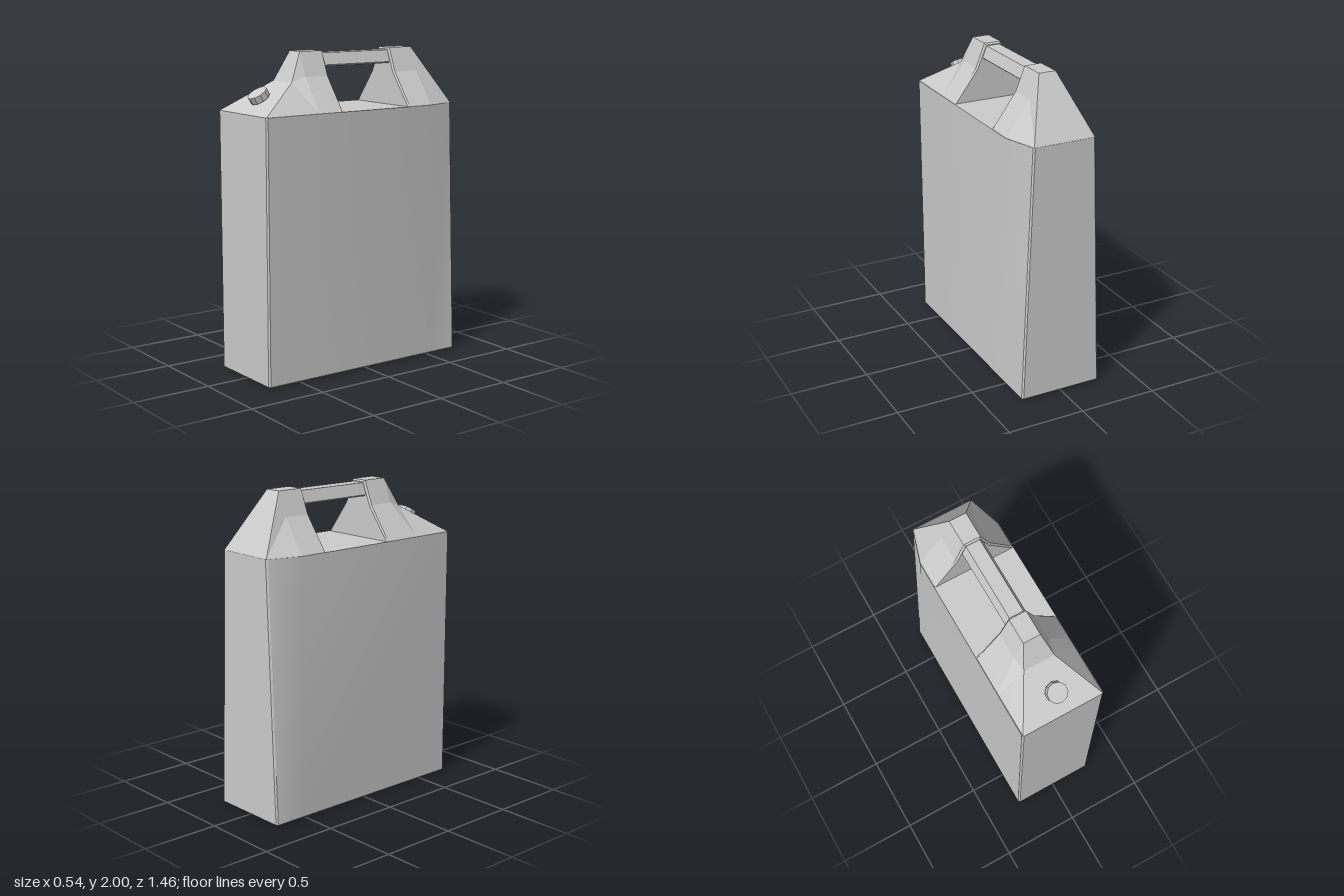
import * as THREE from 'three';
import { toCreasedNormals } from 'three/addons/utils/BufferGeometryUtils.js';

const grey = new THREE.MeshStandardMaterial({ color: 0xcccccc });
const V = (x, y, z) => new THREE.Vector3(x, y, z);

// Completes a ring by mirroring its +x half
const mirrorRing = (half) => [...half, ...half.slice().reverse().map((p) => V(-p.x, p.y, p.z))];

// Joins mirrored rings into a closed skin, with both ends capped
function loft(halves, crease) {
  const rings = halves.map(mirrorRing);
  const out = [];
  const tri = (a, b, c) => {
    const area = b.clone().sub(a).cross(c.clone().sub(a)).length();
    if (area > 1e-7) for (const p of [a, b, c]) out.push(p.x, p.y, p.z);
  };
  const quad = (a, b, c, d) => { tri(a, b, c); tri(a, c, d); };
  const n = rings[0].length;
  for (let r = 0; r + 1 < rings.length; r++) {
    for (let i = 0; i < n; i++) {
      const j = (i + 1) % n;
      quad(rings[r][i], rings[r][j], rings[r + 1][j], rings[r + 1][i]);
    }
  }
  const first = rings[0], last = rings[rings.length - 1];
  for (let i = 0; i + 1 < n / 2; i++) {
    quad(last[i], last[i + 1], last[n - 2 - i], last[n - 1 - i]);
    quad(first[n - 1 - i], first[n - 2 - i], first[i + 1], first[i]);
  }
  const geo = new THREE.BufferGeometry();
  geo.setAttribute('position', new THREE.Float32BufferAttribute(out, 3));
  return toCreasedNormals(geo, crease);
}

// Tank outline at one height; the back corners draw in towards the top
function tankHalf(y, backX, inset = 0) {
  const c = 0.01;
  return [[0.27 - c, 0.73], [0.27, 0.73 - c], [0.27, -0.51], [backX, -0.73 + c], [backX - c, -0.73]]
    .map(([x, z]) => V(x - inset, y, z - Math.sign(z) * inset));
}

// Shoulder section at one depth: base, waist and crest
const shoulderHalf = (z, base, waist, crest) =>
  [base, waist, crest].map(([x, y]) => V(x, y, z));

export function createModel() {
  const model = new THREE.Group();
  const add = (name, geo, parent = model) => {
    const mesh = new THREE.Mesh(geo, grey);
    mesh.name = name;
    parent.add(mesh);
    return mesh;
  };

  // Tank
  add('tank', loft([
    tankHalf(0, 0.27, 0.01),
    tankHalf(0.01, 0.27),
    tankHalf(1.64, 0.205),
  ], 0.35));

  // Shoulders either side of the handle gap, with a bevelled inner rim
  const base = [0.267, 1.64], waist = [0.115, 1.85], crest = [0.055, 2];
  const rimBase = [0.26, 1.64], rimWaist = [0.107, 1.842], rimCrest = [0.045, 1.99];
  const frontEnd = [0.265, 1.64], backEnd = [0.2, 1.64], brow = [0.1, 1.82];
  add('frontShoulder', loft([
    shoulderHalf(0.178, rimBase, rimWaist, rimCrest),
    shoulderHalf(0.188, base, waist, crest),
    shoulderHalf(0.35, base, waist, crest),
    shoulderHalf(0.44, base, brow, brow),
    shoulderHalf(0.727, frontEnd, frontEnd, frontEnd),
  ], 0.2));
  add('backShoulder', loft([
    shoulderHalf(-0.728, backEnd, backEnd, backEnd),
    shoulderHalf(-0.51, base, waist, crest),
    shoulderHalf(-0.338, base, waist, crest),
    shoulderHalf(-0.328, rimBase, rimWaist, rimCrest),
  ], 0.2));

  // Handle bar
  const barHalf = (z) => [[0.06, 1.902], [0.072, 1.912], [0.045, 1.985]].map(([x, y]) => V(x, y, z));
  add('handle', loft([barHalf(-0.35), barHalf(0.2)], 0.2));

  // Spout cap, square to the front slope
  const spout = new THREE.Group();
  spout.name = 'spout';
  spout.position.set(0.013, 1.745, 0.62);
  spout.rotation.x = 0.57;
  model.add(spout);
  const flat = (r, h) => toCreasedNormals(new THREE.CylinderGeometry(r, r, h, 10), 0.2);
  add('cap', flat(0.064, 0.045), spout).position.y = -0.001;
  add('neck', flat(0.04, 0.05), spout).position.y = -0.03;

  return model;
}
